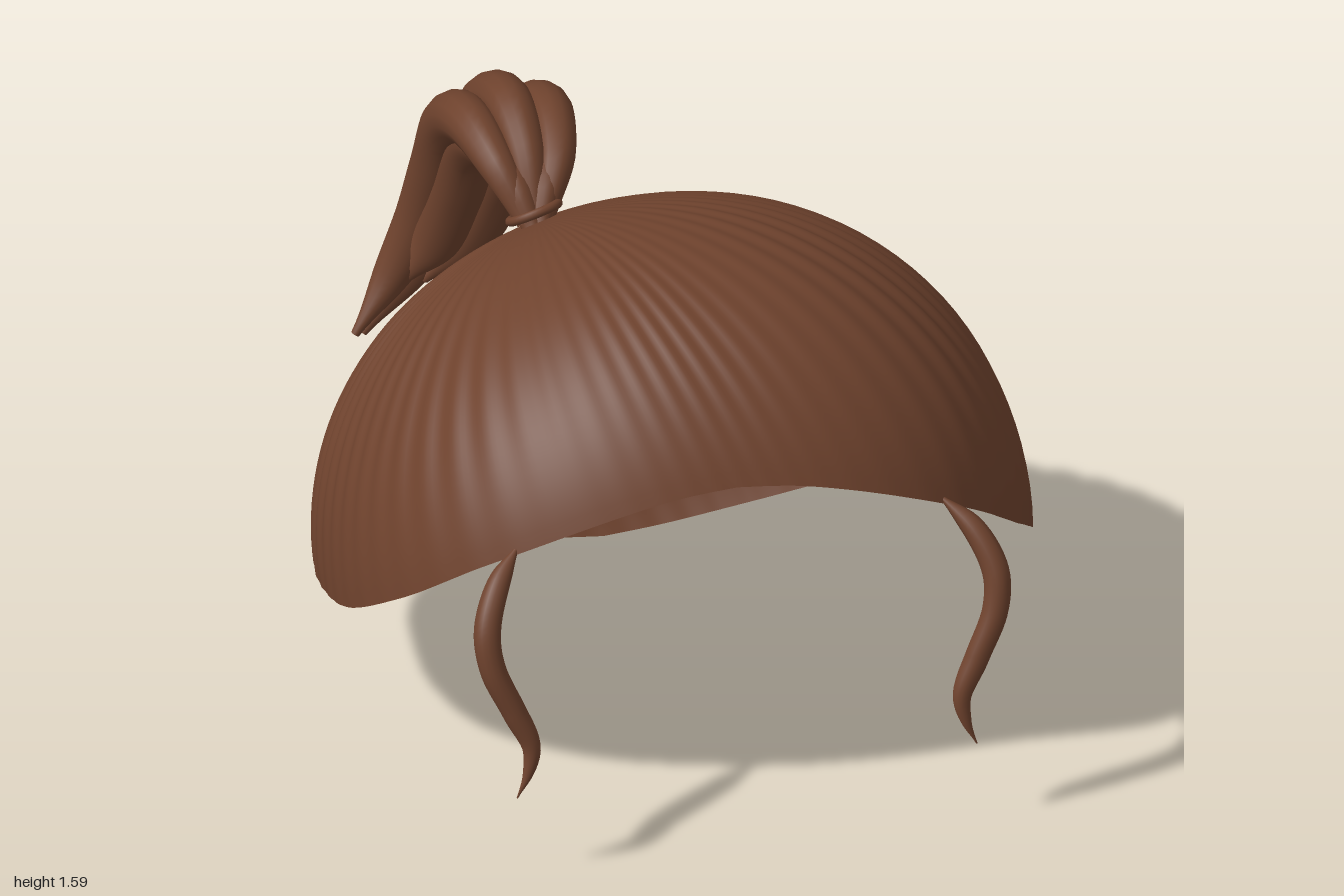
import * as THREE from 'three';

const hair = new THREE.MeshStandardMaterial({ color: 0x6e422d, side: THREE.DoubleSide });
hair.name = 'brown hair';
const V = (x, y, z) => new THREE.Vector3(x, y, z);

// The cap is a rounded, sheared ellipsoid, squarer in front and with a flatter
// lower half that tucks in at the nape. These map between it and unit space.
const halfHeight = h => (h < 0 ? 0.82 : 0.97);
const toUnit = p => {
  const h = p.y - 0.5;
  return V(p.x / 0.97, h / halfHeight(h), (p.z - 0.05 - 0.13 * h) / 0.905);
};
const fromUnit = u => {
  const h = halfHeight(u.y) * u.y;
  return V(0.97 * u.x, 0.5 + h, 0.905 * u.z + 0.05 + 0.13 * h);
};
const flatRadius = (x, z) => {
  const e = z > 0 ? 2.4 : 2.1;
  return Math.pow(Math.abs(x) ** e + Math.abs(z) ** e, 1 / e);
};

// Hairline height every 15 degrees from the front to the back
const hairline = new THREE.SplineCurve(
  [1.08, 1.055, 0.98, 0.85, 0.665, 0.505, 0.425, 0.38, 0.285, 0.185, 0.09, 0.03, 0.005]
    .map((y, i) => new THREE.Vector2(i, y)));

// Fluted cap: strands sweep from the tie point to the hairline
const crown = V(-0.3, 1.32, -0.28);
function capGeometry() {
  const around = 432, rows = 32, pos = [], index = [];
  const pole = toUnit(crown).normalize();
  const { smoothstep } = THREE.MathUtils;
  for (let j = 0; j < around; j++) {
    const a = -Math.PI + 2 * Math.PI * j / around;
    const h = hairline.getPoint(Math.abs(a) / Math.PI).y - 0.5, uy = h / halfHeight(h);
    const r = Math.sqrt(1 - uy * uy) / flatRadius(Math.sin(a), Math.cos(a));
    const rim = V(r * Math.sin(a), uy, r * Math.cos(a)).normalize();
    const ang = pole.angleTo(rim);
    const back = smoothstep(Math.abs(a), 0.3, 1.9);
    const wave = Math.sin(62 * a + 1.8 * Math.sin(5 * a)) * (0.8 + 0.2 * Math.sin(7 * a + 1));
    for (let i = 0; i <= rows; i++) {
      const t = 0.01 + 0.99 * i / rows;
      const u = pole.clone().multiplyScalar(Math.sin((1 - t) * ang)).addScaledVector(rim, Math.sin(t * ang));
      const depth = 0.008 * (0.3 + 0.7 * back) * smoothstep(t, 0, 0.5) * (1 - 0.8 * smoothstep(t, 0.6, 1));
      u.multiplyScalar((1 + depth * wave) / Math.hypot(flatRadius(u.x, u.z), u.y));
      pos.push(...fromUnit(u).toArray());
      if (i < rows) {
        const p = j * (rows + 1) + i, q = ((j + 1) % around) * (rows + 1) + i;
        index.push(p, p + 1, q + 1, p, q + 1, q);
      }
    }
  }
  const g = new THREE.BufferGeometry();
  g.setAttribute('position', new THREE.Float32BufferAttribute(pos, 3));
  g.setIndex(index);
  g.computeVertexNormals();
  return g;
}

// Tube whose radius follows a list of values spread evenly along it
function lock(points, radii, segments = 48) {
  const curve = new THREE.CatmullRomCurve3(points);
  const g = new THREE.TubeGeometry(curve, segments, 1, 14);
  const profile = new THREE.SplineCurve(radii.map((r, i) => new THREE.Vector2(i, r)));
  const p = g.attributes.position, v = V(0, 0, 0);
  for (let i = 0; i < p.count; i++) {
    const t = Math.floor(i / 15) / segments;
    const c = curve.getPointAt(t);
    v.fromBufferAttribute(p, i).sub(c).multiplyScalar(Math.max(0.002, profile.getPoint(t).y)).add(c);
    p.setXYZ(i, v.x, v.y, v.z);
  }
  return g;
}

export function createModel() {
  const model = new THREE.Group();
  const add = (name, geometry, parent = model) => {
    const mesh = new THREE.Mesh(geometry, hair);
    mesh.name = name;
    parent.add(mesh);
    return mesh;
  };

  add('hairCap', capGeometry());

  // Tie around the base of the ponytail
  const tie = add('hairTie', new THREE.TorusGeometry(0.07, 0.013, 10, 40));
  tie.position.set(-0.3, 1.33, -0.285);
  tie.quaternion.setFromUnitVectors(V(0, 0, 1), V(-0.25, 0.8, -0.45).normalize());

  // Ponytail: overlapping locks fanned about one arching path
  const tail = new THREE.Group();
  tail.name = 'ponytail';
  model.add(tail);
  const spine = [V(-0.3, 1.31, -0.27), V(-0.3, 1.44, -0.37), V(-0.31, 1.485, -0.53), V(-0.32, 1.39, -0.71),
    V(-0.34, 1.17, -0.83), V(-0.39, 0.97, -0.9), V(-0.49, 0.79, -0.93), V(-0.63, 0.63, -0.91)];
  const spread = [0.2, 0.75, 1, 1, 0.9, 0.75, 0.5, 0.2];
  const outward = [V(0, 0.5, -0.8), V(0, 0.8, -0.6), V(0, 1, -0.1), V(0, 0.65, -0.75),
    V(0, 0.4, -0.9), V(0, 0.3, -0.95), V(0, 0.3, -0.7), V(0, 0, -0.5)];
  const radii = [0.03, 0.055, 0.072, 0.08, 0.082, 0.075, 0.055, 0.012];
  // side offset, outward offset, number of path points used
  [[0, 0.04, 8], [-0.11, 0, 8], [0.11, 0, 7], [-0.06, -0.07, 7], [0.06, -0.07, 7]].forEach(([side, out, n], k) => {
    const path = spine.slice(0, n).map((p, i) =>
      p.clone().add(V(side * spread[i], 0, 0)).addScaledVector(outward[i], out * spread[i]));
    const r = radii.slice(0, n);
    r[n - 1] = 0.012;
    add('tailLock' + (k + 1), lock(path, r), tail);
  });

  // Loose strands hanging at both temples
  for (const [name, s] of [['leftStrand', 1], ['rightStrand', -1]]) {
    const path = [[0.585, 0.92, 0.75], [0.665, 0.85, 0.84], [0.708, 0.75, 0.905], [0.7, 0.65, 0.935],
      [0.645, 0.52, 0.955], [0.6, 0.41, 0.967], [0.61, 0.33, 0.972], [0.64, 0.255, 0.97]];
    add(name, lock(path.map(([x, y, z]) => V(s * x, y, z)), [0.004, 0.03, 0.037, 0.037, 0.035, 0.032, 0.02, 0.002]));
  }
  return model;
}
